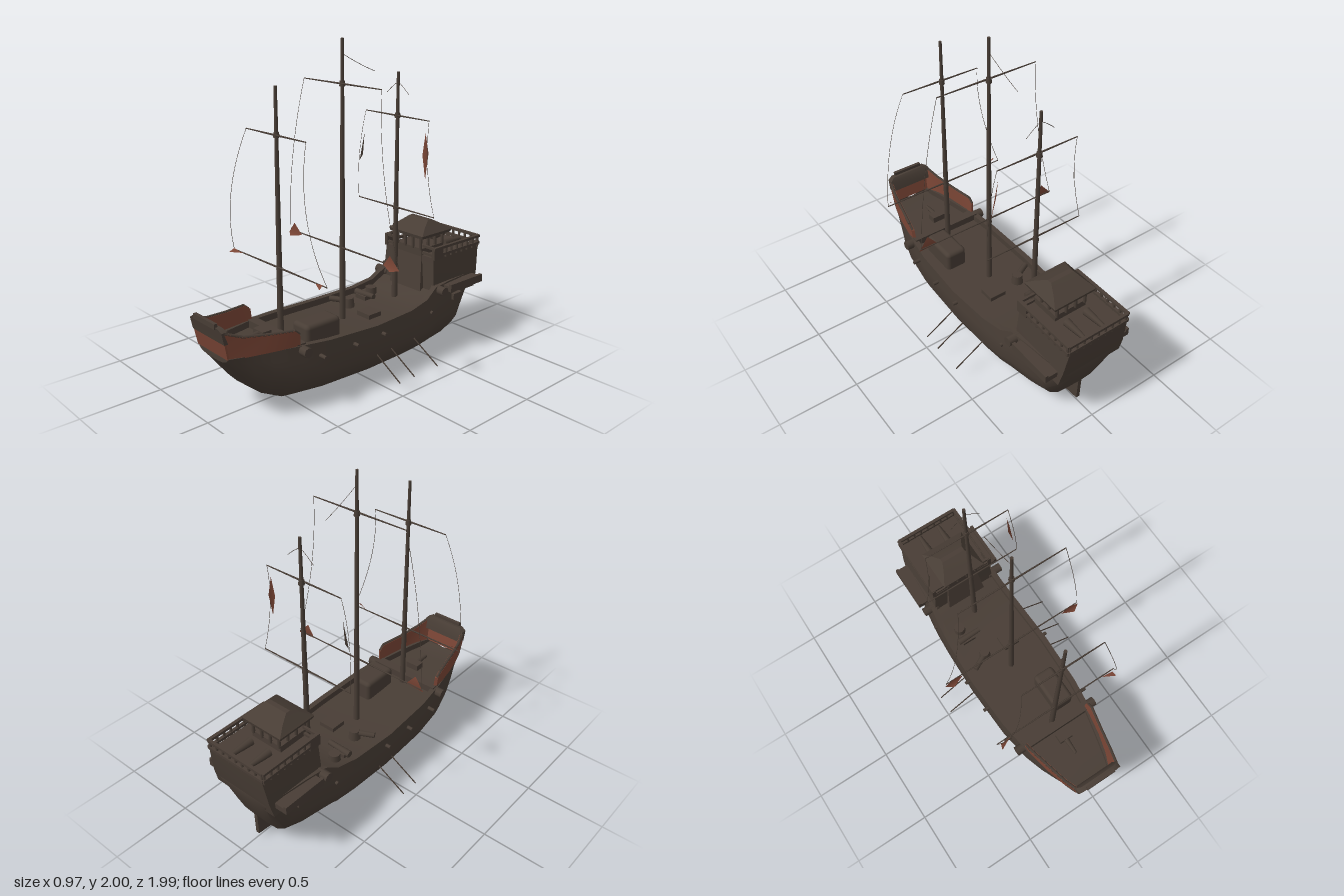
import * as THREE from 'three';
import { toCreasedNormals } from 'three/addons/utils/BufferGeometryUtils.js';
import { RoundedBoxGeometry } from 'three/addons/geometries/RoundedBoxGeometry.js';

const V = (x, y, z) => new THREE.Vector3(x, y, z);

export function createModel() {
  const ship = new THREE.Group();
  ship.name = 'sailingShip';
  const wood = new THREE.MeshStandardMaterial({ name: 'darkWood', color: 0x483d35, side: THREE.DoubleSide });
  const red = new THREE.MeshStandardMaterial({ name: 'redWood', color: 0x7a4535, side: THREE.DoubleSide });

  const add = (name, geo, mat = wood) => {
    const m = new THREE.Mesh(geo, mat);
    m.name = name;
    ship.add(m);
    return m;
  };
  // Box given by its limits
  const box = (name, x0, x1, y0, y1, z0, z1) =>
    add(name, new THREE.BoxGeometry(x1 - x0, y1 - y0, z1 - z0))
      .position.set((x0 + x1) / 2, (y0 + y1) / 2, (z0 + z1) / 2);
  // Tapered rod between two points
  const rod = (name, a, b, r0, r1 = r0, sides = 8) => {
    const m = add(name, new THREE.CylinderGeometry(r1, r0, a.distanceTo(b), sides));
    m.position.copy(a).add(b).multiplyScalar(0.5);
    m.quaternion.setFromUnitVectors(V(0, 1, 0), b.clone().sub(a).normalize());
  };
  const rope = (name, a, mid, b) =>
    add(name, new THREE.TubeGeometry(new THREE.QuadraticBezierCurve3(a, mid, b), 16, 0.0015, 4));
  // Skin over equal-length closed rings, with both ends capped
  const loft = (rings, crease = 0.6) => {
    const n = rings[0].length;
    const centre = (r) => {
      const c = r.reduce((s, p) => s.add(p), V(0, 0, 0)).divideScalar(n);
      return r.map(() => c.clone());
    };
    const all = [centre(rings[0]), ...rings, centre(rings[rings.length - 1])];
    const index = [];
    for (let i = 0; i < all.length - 1; i++)
      for (let j = 0; j < n; j++) {
        const k = (j + 1) % n, a = i * n + j, b = i * n + k, c = a + n, d = b + n;
        if (i > 0) index.push(a, b, c);
        if (i < all.length - 2) index.push(b, d, c);
      }
    const g = new THREE.BufferGeometry().setFromPoints(all.flat());
    g.setIndex(index);
    return toCreasedNormals(g, crease);
  };

  // Hull stations: z, keel height, sheer height, bilge half width, top half width
  const stations = [
    [0.945, 0.37, 0.41, 0.125, 0.145], [0.88, 0.285, 0.41, 0.15, 0.17], [0.8, 0.185, 0.41, 0.18, 0.19],
    [0.7, 0.1, 0.405, 0.215, 0.215], [0.57, 0.035, 0.4, 0.25, 0.245], [0.35, 0.02, 0.385, 0.282, 0.275],
    [0, 0.012, 0.37, 0.295, 0.288], [-0.3, 0.014, 0.375, 0.288, 0.275], [-0.45, 0.018, 0.4, 0.28, 0.262],
    [-0.54, 0.022, 0.455, 0.272, 0.25], [-0.68, 0.03, 0.46, 0.25, 0.235], [-0.8, 0.06, 0.46, 0.225, 0.225],
    [-0.88, 0.19, 0.46, 0.195, 0.218], [-0.95, 0.38, 0.46, 0.19, 0.215],
  ];
  add('hull', loft(stations.map(([z, k, s, b, t]) => {
    const h = s - k, deck = s - Math.min(0.04, h * 0.5);
    const half = [[b * 0.4, k + h * 0.025], [b * 0.7, k + h * 0.14], [b * 0.89, k + h * 0.3], [b, k + h * 0.5],
      [(b + t) / 2, k + h * 0.78], [t, s], [t - 0.035, s], [t - 0.035, deck]];
    return [V(0, k, z), ...half.map(([x, y]) => V(x, y, z)), V(0, deck, z),
      ...half.reverse().map(([x, y]) => V(-x, y, z))];
  })));
  // Keel running aft into the rudder
  const keel = [[0.57, 0.04], [0.4, 0.01], [0.1, 0.001], [-0.3, 0], [-0.6, 0.012], [-0.87, 0.032], [-0.875, 0.2], [-0.7, 0.2]];
  add('keelAndRudder', new THREE.ExtrudeGeometry(new THREE.Shape(keel.map(([z, y]) => new THREE.Vector2(-z, y))),
    { depth: 0.024, bevelEnabled: false }).translate(0, 0, -0.012).rotateY(Math.PI / 2));

  // Red bulwark around the foredeck: lower and upper outline points per side
  const wall = [[0.24, 0.395, 0.54, 0.245, 0.465, 0.545], [0.236, 0.4, 0.6, 0.245, 0.495, 0.58],
    [0.21, 0.405, 0.74, 0.213, 0.505, 0.72], [0.175, 0.405, 0.86, 0.18, 0.525, 0.87], [0.14, 0.405, 0.94, 0.148, 0.565, 0.975]];
  for (const s of [-1, 1]) {
    add('foredeckBulwark', loft(wall.map(([x, y, z, X, Y, Z]) =>
      [V(s * x, y, z), V(s * X, Y, Z), V(s * (X - 0.018), Y, Z - 0.01), V(s * (x - 0.018), y, z - 0.01)])), red);
    for (let i = 0; i < wall.length - 1; i++) {
      const [a, b] = [wall[i], wall[i + 1]].map((w) => V(s * (w[3] - 0.009), w[4], w[5]));
      rod('bulwarkRail', a, b, 0.0095, 0.0095, 6);
    }
  }
  const prowRing = (y, z, w, d) => [V(-w, y, z), V(w, y, z), V(w, y, z - d), V(-w, y, z - d)];
  add('prowBoard', loft([prowRing(0.405, 0.948, 0.142, 0.012), prowRing(0.505, 0.968, 0.147, 0.012)]), red);
  add('prowCap', loft([prowRing(0.5, 0.97, 0.15, 0.04), prowRing(0.57, 0.985, 0.15, 0.04), prowRing(0.59, 0.99, 0.12, 0.03)]));
  box('prowTip', -0.1, 0.1, 0.58, 0.61, 0.975, 0.995);
  box('foredeckStep', -0.24, 0.24, 0.36, 0.405, 0.5, 0.56);
  rod('anchorShaft', V(0, 0.42, 0.6), V(0, 0.42, 0.75), 0.02, 0.01);
  box('anchorStock', -0.045, 0.045, 0.4, 0.44, 0.59, 0.65);

  // Stern castle
  const rect = (y, zf, zb, w) => [V(-w, y, zf), V(w, y, zf), V(w, y, zb), V(-w, y, zb)];
  add('sternCastle', loft([rect(0.36, -0.545, -0.935, 0.226), rect(0.46, -0.55, -0.96, 0.22),
    rect(0.63, -0.555, -0.985, 0.205)]));
  add('castleFront', loft([rect(0.36, -0.51, -0.6, 0.14), rect(0.62, -0.55, -0.72, 0.11)]));
  // Castle railing
  for (const y of [0.645, 0.69]) {
    for (const s of [-1, 1]) {
      box('sideRail', s * 0.21 - 0.01, s * 0.21 + 0.01, y - 0.008, y + 0.008, -0.985, -0.555);
      box('frontRail', s * 0.16 - 0.05, s * 0.16 + 0.05, y - 0.008, y + 0.008, -0.57, -0.555);
    }
    box('backRail', -0.21, 0.21, y - 0.008, y + 0.008, -0.99, -0.97);
  }
  for (let i = 0; i < 9; i++) {
    for (const s of [-1, 1]) rod('railPost', V(s * 0.21, 0.62, -0.565 - i * 0.051), V(s * 0.21, 0.69, -0.565 - i * 0.051), 0.008);
    rod('railPost', V(-0.2 + i * 0.05, 0.62, -0.978), V(-0.2 + i * 0.05, 0.69, -0.978), 0.008);
  }
  for (const s of [-1, 1]) {
    box('castleCornerBoard', s * 0.208 - 0.012, s * 0.208 + 0.012, 0.62, 0.695, -0.63, -0.55);
    rod('sternLantern', V(s * 0.07, 0.645, -0.8), V(s * 0.07, 0.645, -0.96), 0.026, 0.012);
  }
  // Roofed lookout with a short ridge
  box('lookoutBase', -0.11, 0.11, 0.62, 0.67, -0.75, -0.55);
  for (let i = 0; i < 4; i++)
    for (const s of [-1, 1]) {
      const p = -0.1 + i * 0.0667;
      rod('lookoutPost', V(s * 0.1, 0.66, -0.65 + p), V(s * 0.1, 0.76, -0.65 + p), 0.01);
      rod('lookoutPost', V(p, 0.66, -0.65 + s * 0.1), V(p, 0.76, -0.65 + s * 0.1), 0.01);
    }
  const roofRing = (y, d, w) => rect(y, -0.65 + d, -0.65 - d, w);
  add('lookoutRoof', loft([roofRing(0.745, 0.13, 0.14), roofRing(0.765, 0.135, 0.147), roofRing(0.805, 0.075, 0.11),
    roofRing(0.838, 0.015, 0.08)], 0.3));

  for (const s of [-1, 1]) {
    const side = (name, x0, x1, ...r) => box(name, Math.min(s * x0, s * x1), Math.max(s * x0, s * x1), ...r);
    // Side galleries, brackets and catheads
    side('sideGallery', 0.2, 0.305, 0.415, 0.45, -0.92, -0.62);
    side('galleryRail', 0.285, 0.305, 0.44, 0.465, -0.92, -0.62);
    side('galleryBracket', 0.2, 0.26, 0.33, 0.37, -0.78, -0.7);
    rod('galleryBeam', V(s * 0.2, 0.43, -0.57), V(s * 0.3, 0.43, -0.57), 0.03);
    rod('cathead', V(s * 0.2, 0.37, 0.53), V(s * 0.3, 0.37, 0.53), 0.03);
    // Hull cannons
    for (const [z, x] of [[0.42, 0.315], [0.18, 0.32], [-0.04, 0.32], [-0.48, 0.285]])
      rod('hullCannon', V(s * 0.23, 0.31, z), V(s * x, 0.31, z), 0.014, 0.011);
    // Oars
    for (const z of s > 0 ? [0.01, -0.11, -0.31] : [0.01, -0.11])
      rod('oar', V(s * 0.26, 0.21, z), V(s * 0.485, 0.08, z), 0.004, 0.004, 6);
  }

  // Deck fittings
  add('deckHouse', new RoundedBoxGeometry(0.14, 0.16, 0.25, 3, 0.025)).position.set(0.12, 0.38, 0.325);
  box('hatch', 0.02, 0.13, 0.32, 0.36, -0.18, -0.08);
  rod('barrel', V(-0.155, 0.32, -0.365), V(-0.155, 0.39, -0.365), 0.04, 0.035, 12);
  rod('deckCannon', V(-0.21, 0.36, -0.29), V(-0.05, 0.37, -0.29), 0.022, 0.016, 10);
  box('cannonCarriage', -0.19, -0.1, 0.32, 0.36, -0.32, -0.26);
  rod('capstan', V(-0.11, 0.32, -0.13), V(-0.11, 0.39, -0.13), 0.04, 0.03, 10);
  rod('capstanBar', V(-0.22, 0.37, -0.07), V(-0.1, 0.37, -0.13), 0.018);

  // Masts with yards and sail edge ropes: z, top, then upper and lower yard height and half span, sail bulge
  const masts = [
    [0.49, 1.78, 1.52, 0.26, 0.775, 0.42, 0.14],
    [0.02, 2.0, 1.75, 0.325, 0.785, 0.475, 0.09],
    [-0.425, 1.78, 1.52, 0.265, 0.95, 0.325, 0.07],
  ];
  for (const [z, top, yu, wu, yl, wl, bulge] of masts) {
    rod('mast', V(0, 0.32, z), V(0, top, z), 0.019, 0.009, 10);
    for (const [y, w] of [[yu, wu], [yl, wl]]) {
      for (const s of [-1, 1]) rod('yard', V(0, y, z + 0.01), V(s * w, y, z + 0.01), 0.0055, 0.003, 6);
      rod('yardCollar', V(0, y - 0.015, z), V(0, y + 0.015, z), 0.018, 0.015);
    }
    for (const s of [-1, 1])
      rope('sailEdge', V(s * wu, yu, z + 0.01), V(s * (wu + wl) * 0.49, (yu + yl) / 2, z + bulge), V(s * wl, yl, z + 0.01));
  }
  rope('stay', V(0, 1.91, 0.01), V(0, 1.84, -0.12), V(0, 1.8, -0.23));
  for (const s of [-1, 1])
    rope('mizzenLine', V(0, 1.72, -0.425), V(s * 0.05, 1.69, -0.425), V(s * 0.09, 1.65, -0.425));

  // Torn cloth remnants
  const cloth = (name, pts, mat = red) => {
    const g = new THREE.BufferGeometry().setFromPoints(pts);
    g.setIndex(pts.slice(2).flatMap((_, i) => [0, i + 1, i + 2]));
    g.computeVertexNormals();
    add(name, g, mat);
  };
  cloth('sailScrap', [V(0.25, 1.45, -0.405), V(0.247, 1.32, -0.385), V(0.278, 1.18, -0.38), V(0.272, 1.33, -0.41)]);
  cloth('sailScrap', [V(-0.262, 1.38, -0.4), V(-0.29, 1.2, -0.385), V(-0.275, 1.24, -0.4)], wood);
  for (const s of [-1, 1]) {
    cloth('pennant', [V(s * 0.36, 0.775, 0.035), V(s * 0.42, 0.845, 0.045), V(s * 0.485, 0.77, 0.035), V(s * 0.44, 0.76, 0.065)]);
    cloth('pennant', [V(s * 0.33, 0.775, 0.505), V(s * 0.4, 0.79, 0.515), V(s * 0.41, 0.77, 0.545)]);
  }
  return ship;
}
